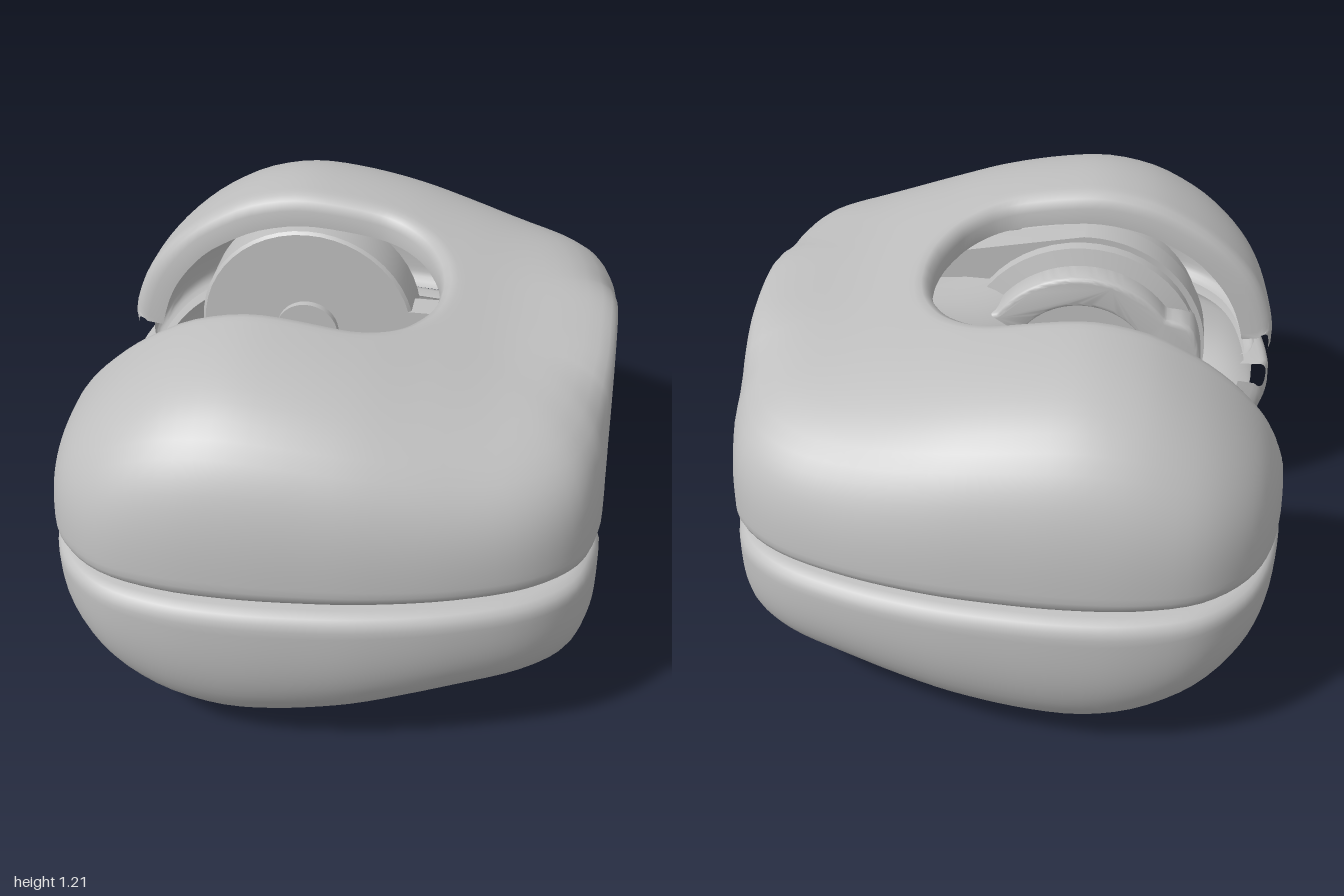
import * as THREE from 'three';
import { toCreasedNormals } from 'three/addons/utils/BufferGeometryUtils.js';

const grey = new THREE.MeshStandardMaterial({ color: 0xc0c0c0 });
grey.name = 'grey plastic';

const MID = 0.6075, SEAM = 0.626;
const { clamp, smoothstep } = THREE.MathUtils;

// Height of the upper shell along x
const HEIGHTS = [[-0.83, 0.68], [-0.815, 0.77], [-0.77, 0.885], [-0.7, 0.98], [-0.6, 1.07], [-0.5, 1.135],
  [-0.4, 1.182], [-0.25, 1.213], [-0.1, 1.205], [0.1, 1.172], [0.3, 1.128], [0.5, 1.088], [0.7, 1.074], [0.83, 1.068]];

function topHeight(x) {
  let i = 0;
  while (i < HEIGHTS.length - 2 && x > HEIGHTS[i + 1][0]) i++;
  const slope = (k) => {
    const a = HEIGHTS[Math.max(k - 1, 0)], b = HEIGHTS[Math.min(k + 1, HEIGHTS.length - 1)];
    return (b[1] - a[1]) / (b[0] - a[0]);
  };
  const [x0, y0] = HEIGHTS[i], [x1, y1] = HEIGHTS[i + 1];
  const w = x1 - x0, t = clamp((x - x0) / w, 0, 1), s = 1 - t;
  return y0 * s * s * (1 + 2 * t) + y1 * t * t * (3 - 2 * t) + w * t * s * (slope(i) * s - slope(i + 1) * t);
}

// Half plan: rim x, rim z, outer x, outer y, outer z, squareness
const PLAN = [
  [-0.825, 0.36, -0.825, SEAM, 0.375, 3], [-0.815, 0.36, -0.815, SEAM, 0.53, 3], [-0.78, 0.36, -0.78, SEAM, 0.7, 3],
  [-0.71, 0.36, -0.71, SEAM, 0.835, 3], [-0.58, 0.36, -0.58, SEAM, 0.942, 3], [-0.4, 0.36, -0.4, SEAM, 0.99, 3],
  [-0.2, 0.36, -0.2, SEAM, 1, 3], [0, 0.36, 0, SEAM, 0.988, 3], [0.08, 0.345, 0.2, SEAM, 0.962, 3],
  [0.14, 0.31, 0.43, SEAM, 0.905, 3], [0.19, 0.26, 0.64, SEAM, 0.815, 3.2], [0.225, 0.2, 0.77, SEAM, 0.69, 3.6],
  [0.25, 0.14, 0.815, SEAM, 0.53, 4.2], [0.26, 0.1, 0.82, 0.637, 0.41, 5], [0.264, 0.08, 0.82, 0.72, 0.33, 5.5],
  [0.267, 0.06, 0.82, 0.81, 0.27, 6], [0.27, 0.03, 0.82, 0.918, 0.15, 7], [0.27, 0, 0.82, 0.957, 0, 7],
];

// Moves an outer point to the inner wall of the shell
function inset([x, y, z]) {
  const az = Math.abs(z);
  return [
    x < 0 ? x * 0.93 : x > 0.27 ? 0.27 + (x - 0.27) * 0.9 : x,
    SEAM + (y - SEAM) * 0.9,
    az > 0.36 ? Math.sign(z) * (0.36 + (az - 0.36) * 0.91) : z,
  ];
}

const fillet = (r, d) => (d < r ? r - Math.sqrt(r * r - (r - d) ** 2) : 0);

// Rounds the arm tips at the rim and at the seam
function roundTip([x, y, z]) {
  const near = clamp((-x - 0.6) / 0.22, 0, 1);
  const edge = fillet(0.045, Math.max(Math.abs(z) - 0.36, 0)) + fillet(0.03, Math.max(y - SEAM, 0));
  return [x + near * edge, y, z];
}

// C-shaped hollow shell, swept from one arm tip round to the other
function shellGeometry() {
  const full = [...PLAN, ...PLAN.slice(0, -1).reverse().map(([a, b, c, d, e, n]) => [a, -b, c, d, -e, n])];
  const rim = new THREE.CatmullRomCurve3(full.map((p) => new THREE.Vector3(p[0], p[5], p[1])), false, 'catmullrom', 0.5);
  const outer = new THREE.CatmullRomCurve3(full.map((p) => new THREE.Vector3(p[2], p[3], p[4])), false, 'catmullrom', 0.5);
  const stations = 136, half = 15;
  const pos = [], idx = [];
  let loop = 0;
  for (let i = 0; i <= stations; i++) {
    const R = rim.getPoint(i / stations), E = outer.getPoint(i / stations), n = R.y;
    const ey = Math.max(E.y, SEAM);
    const length = Math.hypot(E.x - R.x, E.z - R.z);
    const r = Math.min(0.048, length * 0.4, (topHeight(R.x) - ey) * 0.4);
    const line = [];
    for (let j = 0; j <= 2 * half; j++) {
      const w = Math.pow(2, -1 / n) * Math.pow(1 - Math.abs(j - half) / half, 1.4);
      const other = Math.pow(1 - Math.pow(w, n), 1 / n);
      const u = j <= half ? w : other, v = j <= half ? other : w;
      let y = ey + (topHeight(R.x + (E.x - R.x) * u) - ey) * v;
      y -= fillet(r, u * length);
      const f = u - fillet(r, Math.max(y - ey, 0)) / length;
      line.push(roundTip([R.x + (E.x - R.x) * f, y, R.z + (E.z - R.z) * f]));
    }
    const ring = [...line, ...line.map(inset).reverse()];
    loop = ring.length;
    ring.forEach((p) => pos.push(...p));
  }
  for (let i = 0; i < stations; i++) {
    for (let j = 0; j < loop; j++) {
      const a = i * loop + j, b = i * loop + (j + 1) % loop;
      idx.push(a, b, a + loop, b, b + loop, a + loop);
    }
  }
  const g = new THREE.BufferGeometry();
  g.setAttribute('position', new THREE.Float32BufferAttribute(pos, 3));
  g.setIndex(idx);
  return toCreasedNormals(g, 0.8);
}

function turned(profile) {
  const g = new THREE.LatheGeometry(profile.map(([r, y]) => new THREE.Vector2(r, y)), 48);
  return toCreasedNormals(g, 0.5);
}

export function createModel() {
  const model = new THREE.Group();
  model.name = 'jointShell';
  const add = (name, geometry, parent = model) => {
    const mesh = new THREE.Mesh(geometry, grey);
    mesh.name = name;
    parent.add(mesh);
    return mesh;
  };

  // Two matching shell halves
  const shell = shellGeometry();
  add('upperShell', shell);
  const lower = add('lowerShell', shell);
  lower.rotation.x = Math.PI;
  lower.position.y = 2 * MID;

  // Round bearing on the bridge, its axis along x
  const bearing = new THREE.Group();
  bearing.name = 'bearing';
  bearing.position.y = MID;
  bearing.rotation.z = -Math.PI / 2;
  model.add(bearing);
  add('bearingDisc', turned([[0, 0.42], [0.26, 0.42], [0.26, 0.64], [0.312, 0.64], [0.312, 0.755], [0.302, 0.765],
    [0.24, 0.765], [0.24, 0.795], [0.235, 0.8], [0.11, 0.8], [0.11, 0.76], [0, 0.76]]), bearing);
  const pin = new THREE.CylinderGeometry(0.023, 0.023, 0.035, 14);
  for (let i = 0; i < 18; i++) {
    const a = ((i + 0.5) / 18) * Math.PI * 2;
    add('bearingPin', pin, bearing).position.set(Math.cos(a) * 0.272, 0.78, Math.sin(a) * 0.272);
  }

  // Elbow joining the bearing to the front arm drive
  const path = new THREE.CatmullRomCurve3([[0, 0.6], [0.1, 0.5], [0.36, 0.3], [0.5, 0.02], [0.52, -0.08]]
    .map(([x, z]) => new THREE.Vector3(x, MID, z)));
  add('elbow', new THREE.TubeGeometry(path, 32, 0.25, 32));

  // Drive in the front arm, facing the opening
  const drive = add('frontDrive', turned([[0, -0.66], [0.36, -0.66], [0.4, -0.62], [0.4, -0.38], [0.33, -0.36],
    [0.33, -0.3], [0.31, -0.285], [0.235, -0.285], [0.235, -0.295], [0, -0.295]]));
  drive.rotation.x = -Math.PI / 2;
  drive.position.set(-0.18, MID, 0);

  // Housing plate around the front drive, with a wide lug at each end
  const outline = new THREE.Shape();
  for (let i = 0; i < 120; i++) {
    const a = (i / 120) * Math.PI * 2;
    const r = 0.325 + 0.065 * smoothstep(Math.cos(a * 2), 0.35, 0.75);
    outline[i ? 'lineTo' : 'moveTo'](Math.cos(a) * r, Math.sin(a) * r);
  }
  outline.closePath();
  outline.holes.push(new THREE.Path().absarc(0, 0, 0.25, 0, Math.PI * 2, true));
  const plate = new THREE.ExtrudeGeometry(outline, {
    depth: 0.1, bevelEnabled: true, bevelSize: 0.018, bevelThickness: 0.018, bevelSegments: 4, curveSegments: 48,
  });
  add('housingPlate', toCreasedNormals(plate, 0.6)).position.set(-0.18, MID, 0.298);

  // Backing plate tapering from the bridge to the arm tip
  const back = new THREE.Shape();
  back.moveTo(0.3, -0.34);
  back.lineTo(0.3, 0.34);
  back.lineTo(-0.18, 0.42);
  back.absarc(-0.18, 0, 0.42, Math.PI / 2, Math.PI * 1.5, false);
  back.closePath();
  const backing = new THREE.ExtrudeGeometry(back, { depth: 0.1, bevelEnabled: false, curveSegments: 40 });
  add('backingPlate', toCreasedNormals(backing, 0.5)).position.set(0, MID, 0.42);

  // Idler drum with a raised hub in the rear arm
  const idler = add('rearIdler', turned([[0, -0.76], [0.34, -0.76], [0.38, -0.72], [0.38, -0.56], [0.37, -0.55],
    [0.11, -0.55], [0.11, -0.525], [0, -0.525]]));
  idler.rotation.x = Math.PI / 2;
  idler.position.set(-0.25, MID, 0);

  // Inner struts tying both drums to the bridge
  for (const side of [1, -1]) {
    const strut = add('innerStrut', new THREE.BoxGeometry(0.62, 0.2, 0.1));
    strut.position.set(0.32, MID, side * 0.6);
  }
  return model;
}
